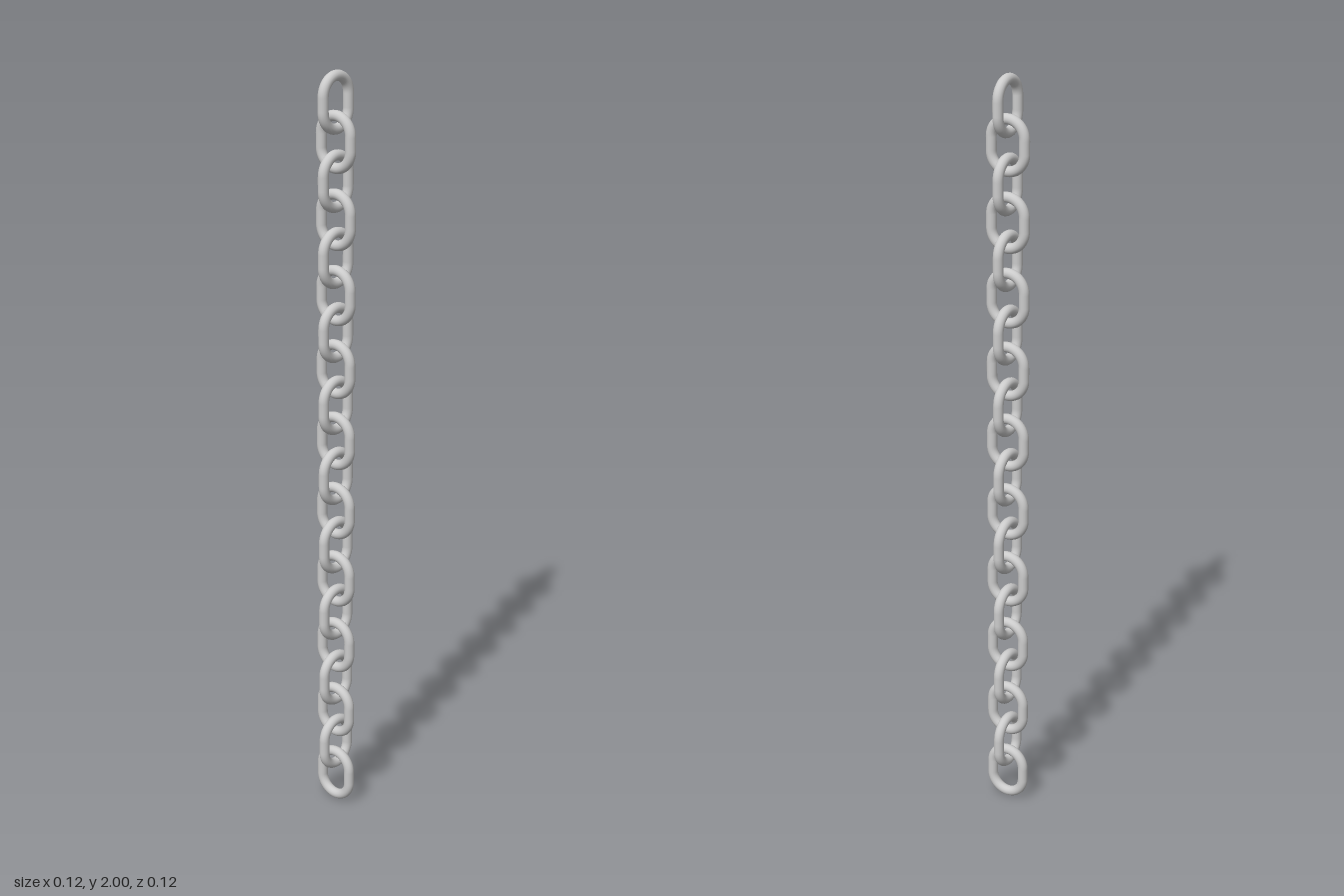
import * as THREE from 'three';

const LINKS = 20;
const TUBE = 0.0135;                          // wire radius
const BEND = 0.047;                           // radius of the rounded ends
const HALF = 0.018;                           // half length of the straight sides
const LINK_H = 2 * (HALF + BEND + TUBE);
const PITCH = (2 - LINK_H) / (LINKS - 1);

// Closed stadium-shaped centre line: two straights joined by two half circles
class LinkCurve extends THREE.Curve {
  getPoint(t, target = new THREE.Vector3()) {
    const arc = Math.PI * BEND;
    const half = arc + 2 * HALF;
    let d = (t % 1) * 2 * half;
    const sign = d < half ? 1 : -1;           // second half is the first turned by 180 degrees
    if (sign < 0) d -= half;
    let x, y;
    if (d < 2 * HALF) {
      x = BEND;
      y = d - HALF;
    } else {
      const a = (d - 2 * HALF) / BEND;
      x = BEND * Math.cos(a);
      y = HALF + BEND * Math.sin(a);
    }
    return target.set(sign * x, sign * y, 0);
  }
}

export function createModel() {
  const chain = new THREE.Group();
  chain.name = 'chain';
  const material = new THREE.MeshStandardMaterial({ color: 0xcccccc });
  const geometry = new THREE.TubeGeometry(new LinkCurve(), 64, TUBE, 16, true);

  // Links hang from the top, each turned a quarter turn from its neighbour
  for (let i = 0; i < LINKS; i++) {
    const link = new THREE.Mesh(geometry, material);
    link.name = `link${i + 1}`;
    link.position.y = 2 - LINK_H / 2 - i * PITCH;
    link.rotation.y = (i % 2) * Math.PI / 2;
    chain.add(link);
  }
  return chain;
}
